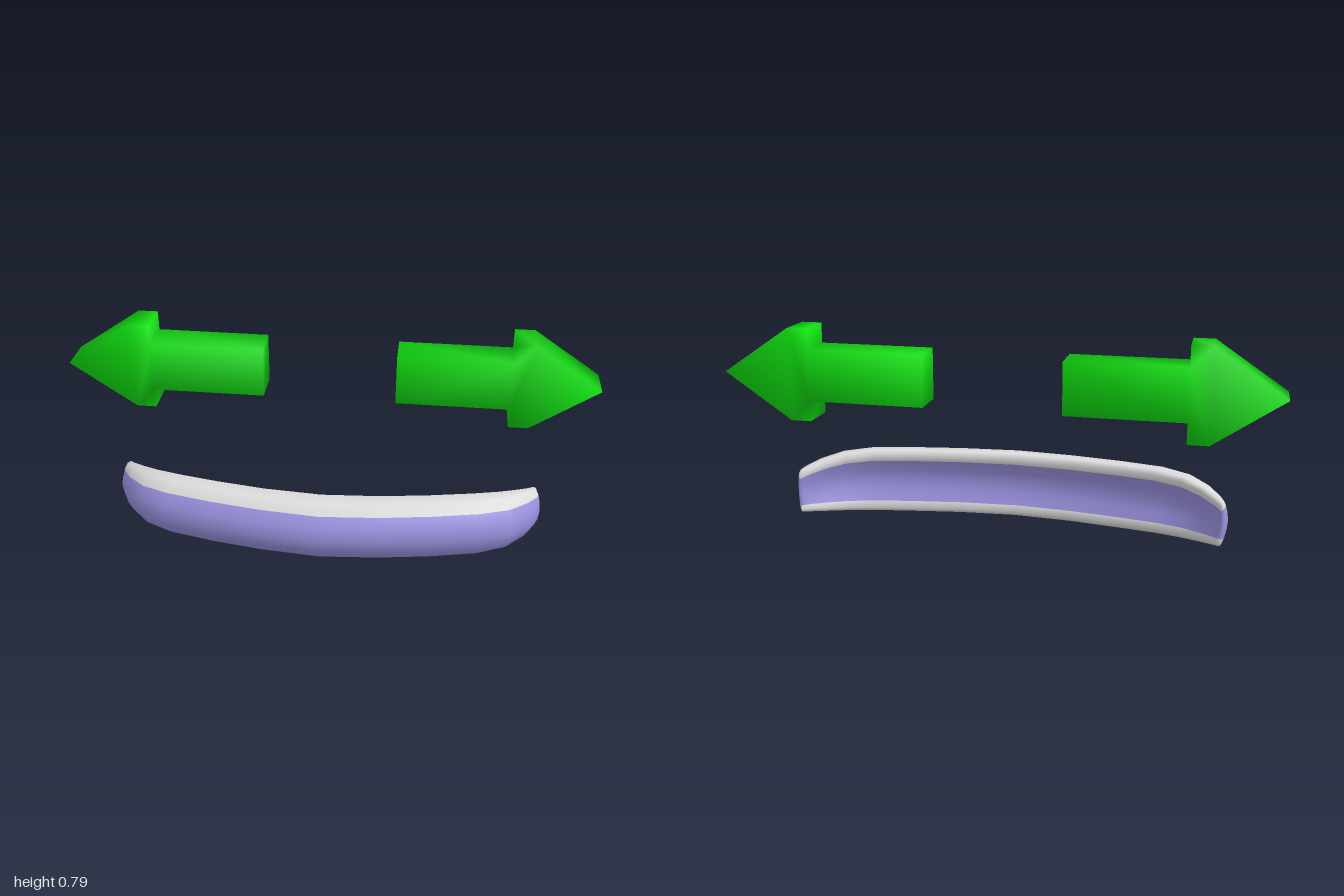
import * as THREE from 'three';
import { mergeVertices } from 'three/addons/utils/BufferGeometryUtils.js';

const mat = (name, color) => Object.assign(new THREE.MeshStandardMaterial({ color }), { name });

// Half of the bar: front x, z; back x, z; bottom y; top y (centre to tip)
const HALF = [
  [0, 0.26, 0, 0.11, 0, 0.253],
  [0.22, 0.24, 0.22, 0.095, 0, 0.253],
  [0.42, 0.208, 0.4, 0.068, 0, 0.253],
  [0.6, 0.168, 0.55, 0.038, 0.002, 0.252],
  [0.71, 0.115, 0.65, 0.003, 0.006, 0.243],
  [0.785, 0.03, 0.72, -0.04, 0.014, 0.226],
  [0.822, -0.045, 0.77, -0.082, 0.024, 0.207],
  [0.825, -0.07, 0.787, -0.1, 0.028, 0.2],
  [0.813, -0.1, 0.798, -0.11, 0.032, 0.192],
];

// Cross-section: u runs back to front, v runs bottom to top
const RING = [
  [0.74, 0.15], [0.93, 0.33], [1, 0.51], [0.93, 0.69], [0.74, 0.87],  // front band
  [0.47, 0.99], [0.1, 1], [0, 0.93],                                  // top rim
  [0.06, 0.83], [0.2, 0.66], [0.23, 0.5], [0.2, 0.34], [0.06, 0.17],  // dished back
  [0, 0.07], [0.1, 0], [0.42, 0.03],                                  // bottom rim
];

function createBarGeometry() {
  const mirrored = HALF.slice(1).reverse().map(([fx, fz, bx, bz, lo, hi]) => [-fx, fz, -bx, bz, lo, hi]);
  const stations = [...mirrored, ...HALF];
  const n = RING.length, pos = [], band = [], rim = [];
  for (const [fx, fz, bx, bz, lo, hi] of stations)
    for (const [u, v] of RING)
      pos.push(bx + (fx - bx) * u, lo + (hi - lo) * v, bz + (fz - bz) * u);

  // Skin between stations
  for (let s = 0; s < stations.length - 1; s++)
    for (let i = 0; i < n; i++) {
      const j = (i + 1) % n, a = s * n, b = a + n;
      const list = i % 8 < 4 ? band : rim;
      list.push(a + i, b + i, b + j, a + i, b + j, a + j);
    }

  // Tips: band strip across the middle, rim fans above and below
  for (const end of [0, 1]) {
    const o = end * (stations.length - 1) * n;
    const tri = (list, a, b, c) => list.push(o + a, o + (end ? c : b), o + (end ? b : c));
    for (let i = 0; i < 4; i++) {
      tri(band, i, i + 1, 12 - i);
      tri(band, i + 1, 11 - i, 12 - i);
    }
    for (const start of [4, 12])
      for (let k = 1; k < 4; k++) tri(rim, start, start + k, (start + k + 1) % n);
  }

  const g = new THREE.BufferGeometry();
  g.setAttribute('position', new THREE.Float32BufferAttribute(pos, 3));
  g.setIndex([...band, ...rim]);
  g.addGroup(0, band.length, 0);
  g.addGroup(band.length, rim.length, 1);
  g.computeVertexNormals();
  return g;
}

function createArrowGeometry(side) {
  const outline = [
    [0.25, 0.52], [0.675, 0.52], [0.675, 0.445], [0.75, 0.445],
    [1, 0.615], [0.75, 0.785], [0.675, 0.785], [0.675, 0.71], [0.25, 0.71],
  ].map(([x, y]) => new THREE.Vector2(x * side, y));
  let g = new THREE.ExtrudeGeometry(new THREE.Shape(outline), { depth: 0.137, bevelEnabled: false });
  g.translate(0, 0, -0.26);
  // Shared corners give soft shading
  g.deleteAttribute('normal');
  g.deleteAttribute('uv');
  g.clearGroups();
  g = mergeVertices(g);
  g.computeVertexNormals();
  return g;
}

export function createModel() {
  const green = mat('arrowGreen', 0x10e010);
  const violet = mat('bandViolet', 0x9a92e0);
  const grey = mat('rimGrey', 0xdcdcdc);

  const model = new THREE.Group();
  model.name = 'curvedBarWithArrows';

  const bar = new THREE.Mesh(createBarGeometry(), [violet, grey]);
  bar.name = 'curvedBar';
  model.add(bar);

  for (const [name, side] of [['leftArrow', 1], ['rightArrow', -1]]) {
    const arrow = new THREE.Mesh(createArrowGeometry(side), green);
    arrow.name = name;
    model.add(arrow);
  }
  return model;
}
